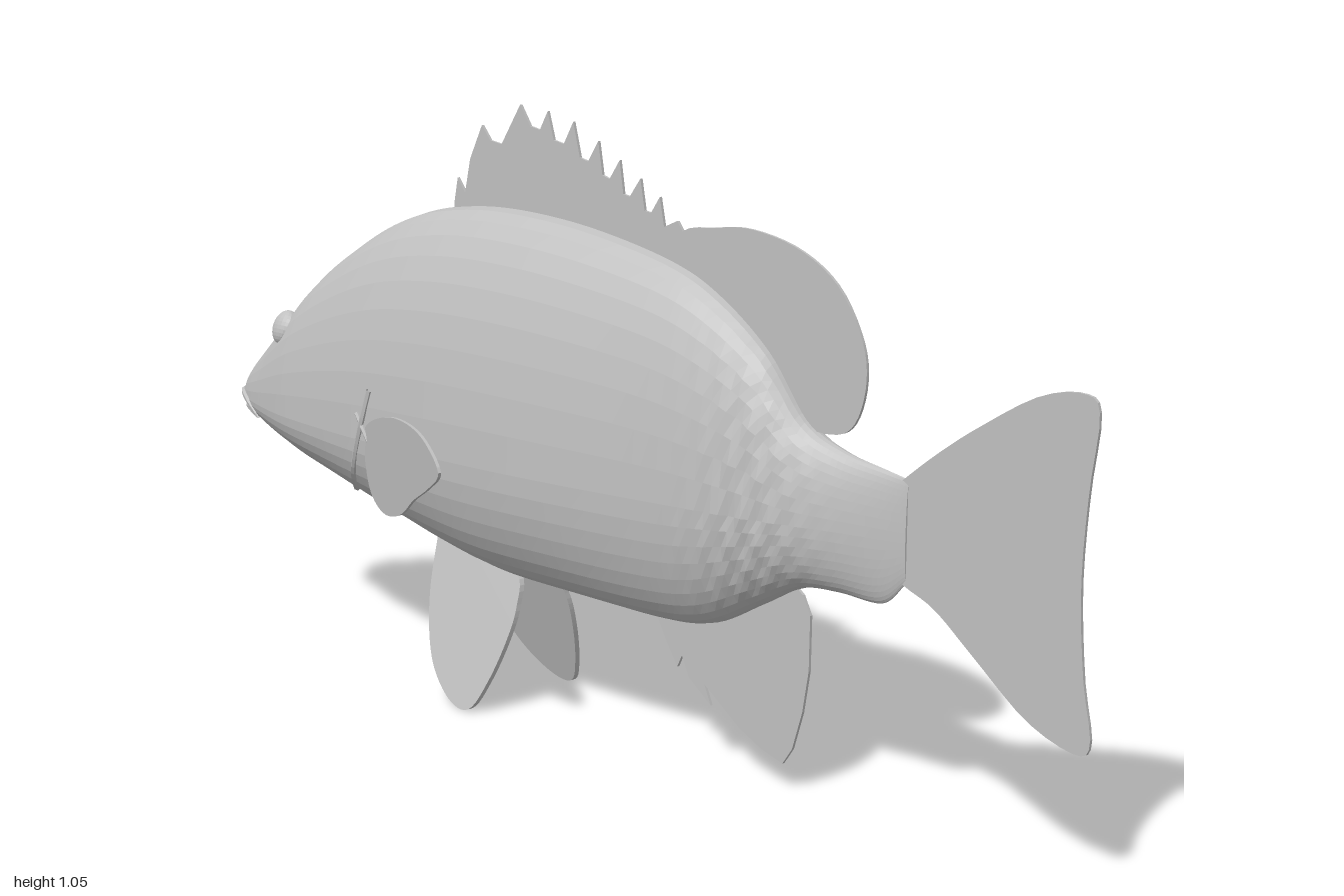
import * as THREE from 'three';

const gray = new THREE.MeshStandardMaterial({ color: 0xc0c0c0, flatShading: true, side: THREE.DoubleSide });
gray.name = 'fish gray';

// Body stations: x, top, bottom, half width
const stations = [
  [-1, 0.468, 0.436, 0.012], [-0.985, 0.487, 0.427, 0.045], [-0.95, 0.525, 0.412, 0.075],
  [-0.87, 0.592, 0.388, 0.106], [-0.74, 0.705, 0.352, 0.138], [-0.6, 0.79, 0.318, 0.153],
  [-0.47, 0.843, 0.287, 0.16], [-0.34, 0.867, 0.257, 0.161], [-0.2, 0.872, 0.234, 0.156],
  [-0.02, 0.857, 0.23, 0.141], [0.17, 0.82, 0.23, 0.114], [0.28, 0.775, 0.246, 0.096],
  [0.385, 0.7, 0.3, 0.078], [0.465, 0.605, 0.342, 0.058], [0.54, 0.57, 0.35, 0.036],
  [0.62, 0.555, 0.35, 0.017], [0.665, 0.547, 0.39, 0.006],
];
const heights = new THREE.CatmullRomCurve3(stations.map(s => new THREE.Vector3(s[0], s[1], s[2])), false, 'catmullrom');
const widths = new THREE.CatmullRomCurve3(stations.map(s => new THREE.Vector3(s[0], s[3], 0)), false, 'catmullrom');

function section(t) {
  const h = heights.getPoint(t), w = widths.getPoint(t).y;
  const mid = Math.min(0.452, h.z + (h.y - h.z) * 0.5);
  return { x: h.x, top: h.y, bottom: h.z, mid, w };
}

// Half width of the body at a side-view position
function surfaceZ(x, y) {
  let lo = 0, hi = 1;
  for (let i = 0; i < 24; i++) {
    const m = (lo + hi) / 2;
    if (heights.getPoint(m).x < x) lo = m; else hi = m;
  }
  const s = section(lo);
  const k = y > s.mid ? (y - s.mid) / (s.top - s.mid) : (s.mid - y) / (s.mid - s.bottom);
  return s.w * Math.sqrt(Math.max(0, 1 - k * k));
}

// Egg-shaped cross-sections, with scale ripples before the tail
function bodyGeometry() {
  const rings = 112, sides = 40, pos = [], idx = [];
  for (let i = 0; i <= rings; i++) {
    const s = section(i / rings);
    const ripple = 0.004 * Math.exp(-Math.pow((s.x - 0.39) / 0.09, 2));
    for (let j = 0; j < sides; j++) {
      const a = (j / sides) * Math.PI * 2, c = Math.cos(a), n = Math.sin(a);
      const bump = ripple * Math.sin(s.x * 130) * Math.cos(a * 10) * Math.abs(c);
      const h = n > 0 ? s.top - s.mid : s.mid - s.bottom;
      pos.push(s.x, s.mid + h * n, s.w * c + Math.sign(c) * bump);
    }
  }
  for (let i = 0; i < rings; i++) for (let j = 0; j < sides; j++) {
    const a = i * sides + j, b = i * sides + (j + 1) % sides, c = a + sides, d = b + sides;
    idx.push(a, c, d, a, d, b);
  }
  // end caps
  for (const [ring, flip] of [[0, true], [rings, false]]) {
    const s = section(ring / rings), centre = pos.length / 3, o = ring * sides;
    pos.push(s.x, s.mid, 0);
    for (let j = 0; j < sides; j++) {
      const a = o + j, b = o + (j + 1) % sides;
      idx.push(centre, flip ? b : a, flip ? a : b);
    }
  }
  const g = new THREE.BufferGeometry();
  g.setAttribute('position', new THREE.Float32BufferAttribute(pos, 3));
  g.setIndex(idx);
  g.computeVertexNormals();
  return g;
}

// Thin plate from a side outline, leaned sideways by a rule for z
function finGeometry(points, smooth, thick, lean = () => 0) {
  let pts = points.map(p => new THREE.Vector2(p[0], p[1]));
  if (smooth) pts = new THREE.SplineCurve([...pts, pts[0]]).getPoints(60).slice(0, -1);
  const g = new THREE.ExtrudeGeometry(new THREE.Shape(pts), { depth: thick, bevelEnabled: false });
  g.translate(0, 0, -thick / 2);
  const p = g.attributes.position;
  for (let i = 0; i < p.count; i++) p.setZ(i, p.getZ(i) + lean(p.getX(i), p.getY(i)));
  g.computeVertexNormals();
  return g;
}

const spinyDorsal = [[-0.38, 0.82], [-0.38, 0.87], [-0.37, 0.915], [-0.35, 0.89], [-0.335, 0.95], [-0.302, 1.01],
  [-0.28, 0.985], [-0.25, 0.98], [-0.2, 1.05], [-0.175, 1.015], [-0.15, 1.01], [-0.13, 1.042], [-0.115, 0.995], [-0.09, 0.99],
  [-0.066, 1.028], [-0.05, 0.97], [-0.03, 0.965], [-0.005, 1.0], [0.005, 0.945], [0.022, 0.94],
  [0.046, 0.972], [0.055, 0.918], [0.07, 0.915], [0.095, 0.946], [0.105, 0.895], [0.12, 0.893],
  [0.14, 0.92], [0.15, 0.873], [0.18, 0.885], [0.2, 0.86], [0.2, 0.78]];
const softDorsal = [[0.15, 0.8], [0.19, 0.868], [0.26, 0.881], [0.34, 0.886], [0.44, 0.865], [0.52, 0.818],
  [0.57, 0.742], [0.58, 0.677], [0.56, 0.615], [0.52, 0.592], [0.45, 0.6], [0.36, 0.66], [0.25, 0.74]];
const tail = [[0.6, 0.5], [0.66, 0.55], [0.72, 0.597], [0.79, 0.645], [0.89, 0.703], [0.965, 0.718], [0.992, 0.692],
  [0.98, 0.58], [0.974, 0.45], [0.984, 0.32], [1.0, 0.23], [0.975, 0.208], [0.89, 0.236], [0.79, 0.31],
  [0.72, 0.362], [0.66, 0.387], [0.6, 0.42]];
const anal = [[0.13, 0.26], [0.14, 0.225], [0.16, 0.19], [0.187, 0.15], [0.198, 0.172], [0.214, 0.138], [0.265, 0.102],
  [0.25, 0.135], [0.33, 0.08], [0.38, 0.058], [0.425, 0.046], [0.445, 0.075], [0.465, 0.14], [0.477, 0.21],
  [0.478, 0.3], [0.462, 0.33], [0.42, 0.36], [0.3, 0.32]];
const pelvic = [[-0.4, 0.275], [-0.385, 0.18], [-0.355, 0.1], [-0.315, 0.045], [-0.255, 0.007], [-0.205, 0.007],
  [-0.175, 0.06], [-0.155, 0.13], [-0.15, 0.19], [-0.17, 0.245], [-0.28, 0.27]];
const pectoral = [[-0.46, 0.47], [-0.39, 0.502], [-0.27, 0.532], [-0.15, 0.542], [-0.06, 0.532], [0.007, 0.5],
  [-0.05, 0.462], [-0.14, 0.42], [-0.21, 0.38], [-0.29, 0.355], [-0.36, 0.352], [-0.42, 0.372], [-0.45, 0.42]];

export function createModel() {
  const model = new THREE.Group();
  model.name = 'fish';
  const add = (name, geometry) => {
    const mesh = new THREE.Mesh(geometry, gray);
    mesh.name = name;
    model.add(mesh);
    return mesh;
  };

  add('body', bodyGeometry());

  // Fins on the centre line
  add('spinyDorsalFin', finGeometry(spinyDorsal, false, 0.005));
  add('softDorsalFin', finGeometry(softDorsal, true, 0.005));
  add('tailFin', finGeometry(tail, true, 0.005));
  add('analFin', finGeometry(anal, false, 0.005));

  // Ridge lying on the side of the body
  const ridge = (name, points, side, radius) => {
    const path = points.map(([x, y]) => new THREE.Vector3(x, y, side * surfaceZ(x, y)));
    add(name, new THREE.TubeGeometry(new THREE.CatmullRomCurve3(path), 20, radius, 6));
  };

  // Paired parts
  for (const side of [1, -1]) {
    const label = side > 0 ? 'left' : 'right';
    add(label + 'PelvicFin', finGeometry(pelvic, true, 0.01, (x, y) => side * (0.04 + (0.24 - y) * 0.345)));
    add(label + 'PectoralFin', finGeometry(pectoral, true, 0.006, x => side * (0.155 + (x + 0.45) * 0.43)));

    const eye = add(label + 'Eye', new THREE.SphereGeometry(0.034, 20, 14));
    eye.position.set(-0.8, 0.605, side * (surfaceZ(-0.8, 0.605) - 0.004));
    eye.scale.z = 0.65;
    eye.rotation.set(-side * 0.4, -side * 0.25, 0);

    ridge(label + 'GillCover', [[-0.435, 0.545], [-0.46, 0.47], [-0.5, 0.39], [-0.55, 0.342], [-0.63, 0.33]], side, 0.006);
    ridge(label + 'GillNotch', [[-0.47, 0.5], [-0.45, 0.475], [-0.43, 0.45]], side, 0.005);
    ridge(label + 'UpperLip', [[-0.998, 0.455], [-0.96, 0.462], [-0.92, 0.452], [-0.88, 0.428]], side, 0.006);
    ridge(label + 'LowerLip', [[-0.995, 0.437], [-0.96, 0.434], [-0.92, 0.432], [-0.88, 0.424]], side, 0.005);
  }
  return model;
}
